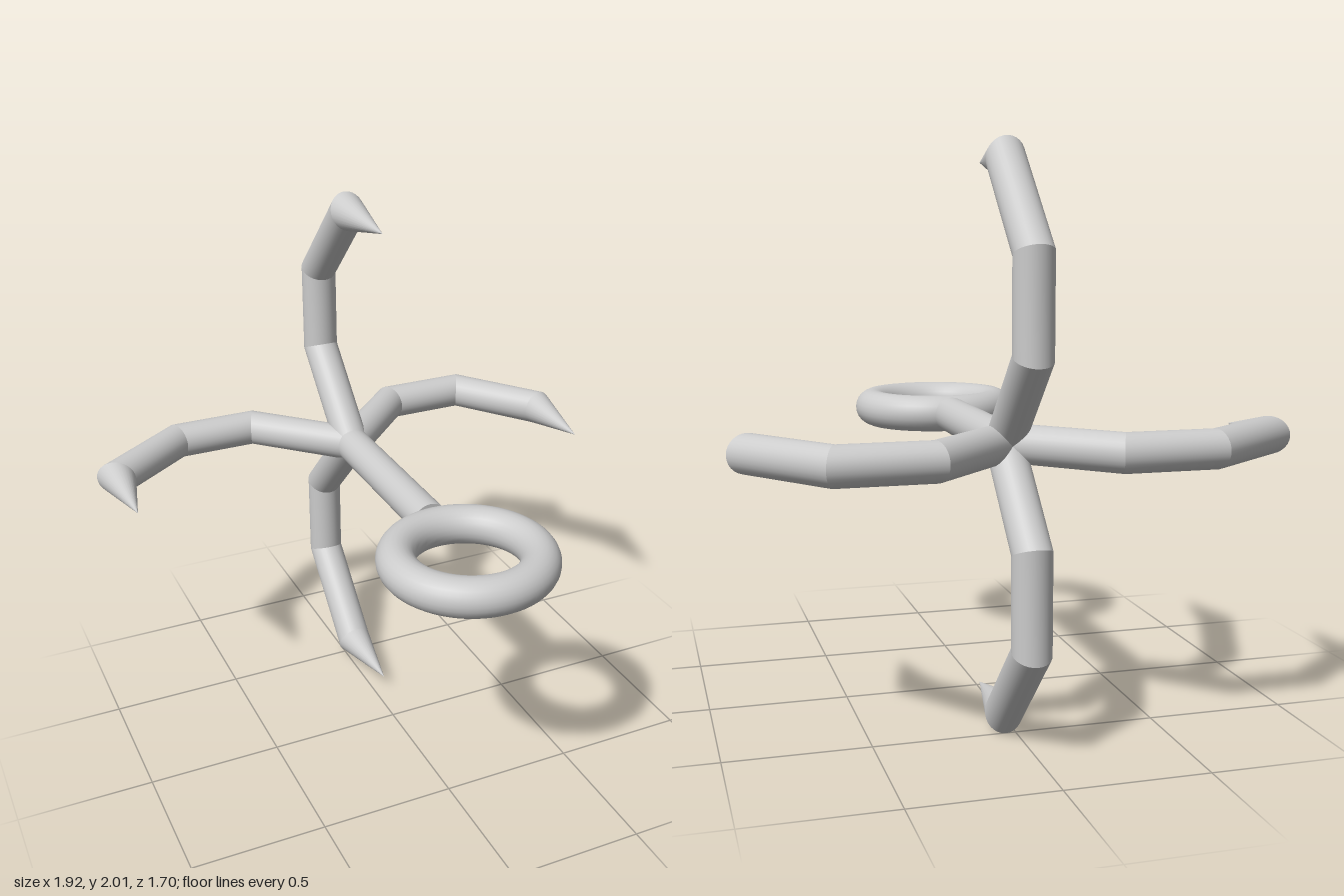
import * as THREE from 'three';
import { mergeGeometries } from 'three/addons/utils/BufferGeometryUtils.js';

const SIDES = 28, R = 0.067;
const HUB = { x: 0.035, y: 1, z: -0.475 };

// Round bar along a planar path of [outward, z] points, mitred at each bend.
// The first point only sets the starting mitre; the last is a sharp apex.
function clawGeometry(path, outward) {
  const pts = path.map(([u, z]) =>
    new THREE.Vector3(HUB.x, HUB.y, z).addScaledVector(outward, u));
  const n = new THREE.Vector3().crossVectors(outward, new THREE.Vector3(0, 0, 1));
  const perps = pts.slice(1).map((p, i) =>
    p.clone().sub(pts[i]).normalize().cross(n));

  const ring = (i) => {
    const apex = i === pts.length - 1;
    const mitre = perps[i - 1].clone();
    if (!apex) {
      mitre.add(perps[i]).normalize();
      mitre.divideScalar(mitre.dot(perps[i]));
    }
    const r = apex ? 0.0005 : R;
    return Array.from({ length: SIDES }, (_, k) => {
      const a = (k / SIDES) * Math.PI * 2;
      return pts[i].clone()
        .addScaledVector(n, r * Math.cos(a))
        .addScaledVector(mitre, r * Math.sin(a));
    });
  };

  // Separate rings per segment keep the bends crisp and the bar smooth
  const segments = [];
  for (let i = 1; i < pts.length - 1; i++) {
    const geo = new THREE.BufferGeometry().setFromPoints([...ring(i), ...ring(i + 1)]);
    const index = [];
    for (let k = 0; k < SIDES; k++) {
      const k2 = (k + 1) % SIDES;
      index.push(k, k2, SIDES + k, k2, SIDES + k2, SIDES + k);
    }
    geo.setIndex(index);
    geo.computeVertexNormals();
    segments.push(geo);
  }
  return mergeGeometries(segments);
}

export function createModel() {
  const group = new THREE.Group();
  const material = new THREE.MeshStandardMaterial({ color: 0xcccccc });
  const add = (name, geometry) => {
    const mesh = new THREE.Mesh(geometry, material);
    mesh.name = name;
    group.add(mesh);
    return mesh;
  };

  // Rope ring, lying flat at the front
  const eye = add('ropeRing', new THREE.TorusGeometry(0.246, 0.07, 24, 64));
  eye.rotation.x = Math.PI / 2;
  eye.position.set(HUB.x, HUB.y, 0.533);

  // Shaft from ring to hub
  const front = 0.24;
  const shaft = add('shaft', new THREE.CylinderGeometry(R, R, front - HUB.z, SIDES));
  shaft.rotation.x = Math.PI / 2;
  shaft.position.set(HUB.x, HUB.y, (front + HUB.z) / 2);

  // Four claws: the two sideways ones differ slightly in their outer bend
  const base = [[0, 0], [0, HUB.z], [0.31, -0.785]];
  const upright = [...base, [0.633, -0.785], [0.94, -0.475], [0.937, -0.165]];
  const left = [...base, [0.627, -0.785], [0.855, -0.475], [0.855, -0.17]];
  const right = [...base, [0.625, -0.785], [0.932, -0.557], [0.932, -0.25]];
  add('upperClaw', clawGeometry(upright, new THREE.Vector3(0, 1, 0)));
  add('lowerClaw', clawGeometry(upright, new THREE.Vector3(0, -1, 0)));
  add('leftClaw', clawGeometry(left, new THREE.Vector3(1, 0, 0)));
  add('rightClaw', clawGeometry(right, new THREE.Vector3(-1, 0, 0)));

  return group;
}
